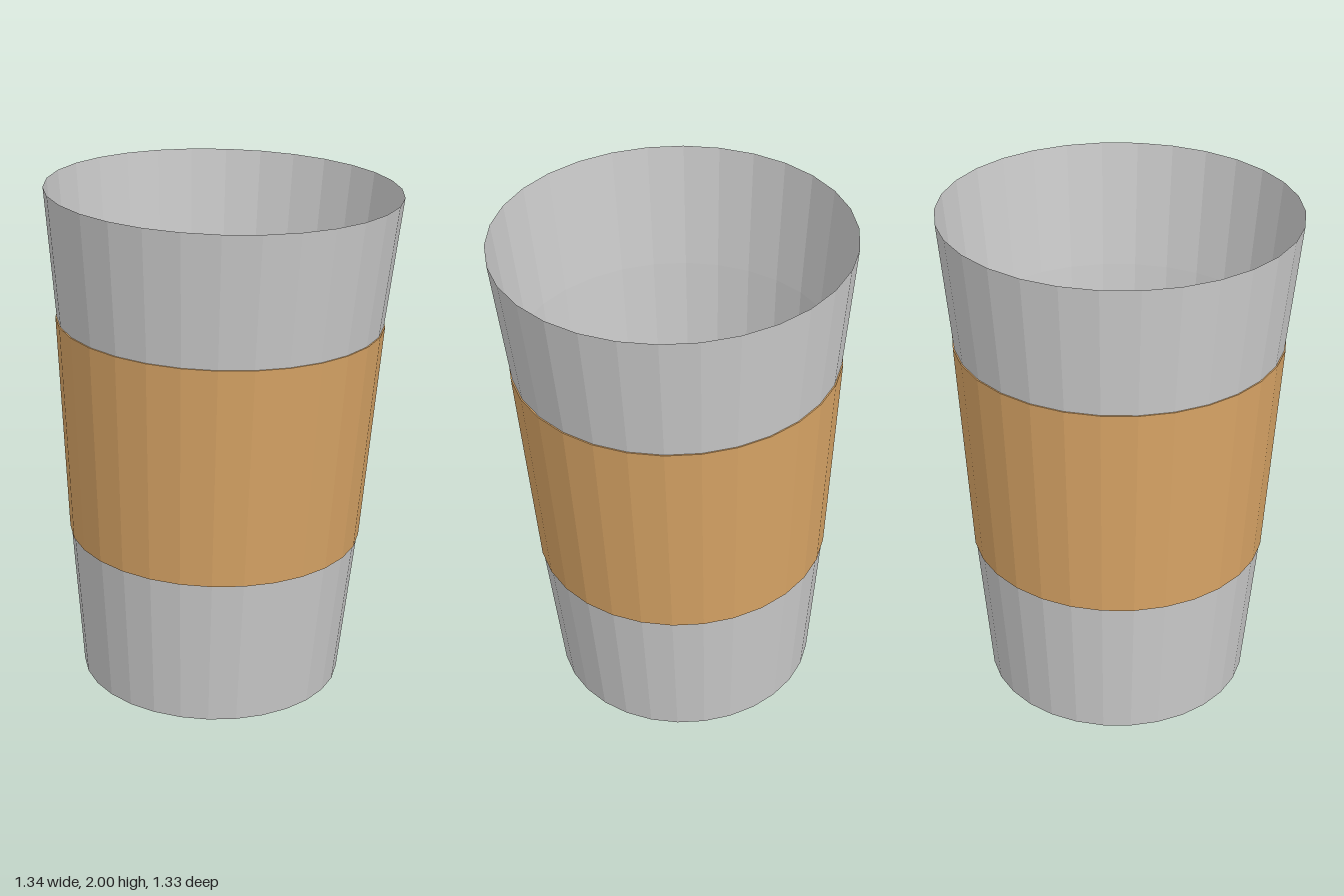
import * as THREE from 'three';

const SIDES = 30;

// Faceted surface of revolution from [radius, height] pairs
function turned(name, color, profile) {
  const points = profile.map(([r, y]) => new THREE.Vector2(r, y));
  const geometry = new THREE.LatheGeometry(points, SIDES, Math.PI / SIDES);
  const material = new THREE.MeshStandardMaterial({ color, flatShading: true, side: THREE.DoubleSide });
  const mesh = new THREE.Mesh(geometry, material);
  mesh.name = name;
  return mesh;
}

export function createModel() {
  const group = new THREE.Group();
  group.name = 'paperCup';

  // Thin wall and base in one sweep: drain hole, raised floor, foot ring, wall
  const floor = turned('cupBase', 0xcccccc, [[0.125, 0.055], [0.365, 0.055], [0.41, 0], [0.515, 0]]);
  const wall = turned('cupWall', 0xcccccc, [[0.515, 0], [0.568, 0.595], [0.622, 1.459], [0.671, 1.96]]);

  // Cardboard sleeve, tucked against the wall at both edges
  const sleeve = turned('sleeve', 0xd9a566, [[0.568, 0.595], [0.573, 0.595], [0.627, 1.459], [0.622, 1.459]]);

  // The cup leans slightly forward
  const cup = new THREE.Group();
  cup.name = 'cup';
  cup.add(floor, wall, sleeve);
  cup.position.set(-0.015, 0.018, -0.065);
  const axis = new THREE.Vector3(0.008, 1, 0.034).normalize();
  cup.quaternion.setFromUnitVectors(new THREE.Vector3(0, 1, 0), axis);
  group.add(cup);
  return group;
}
